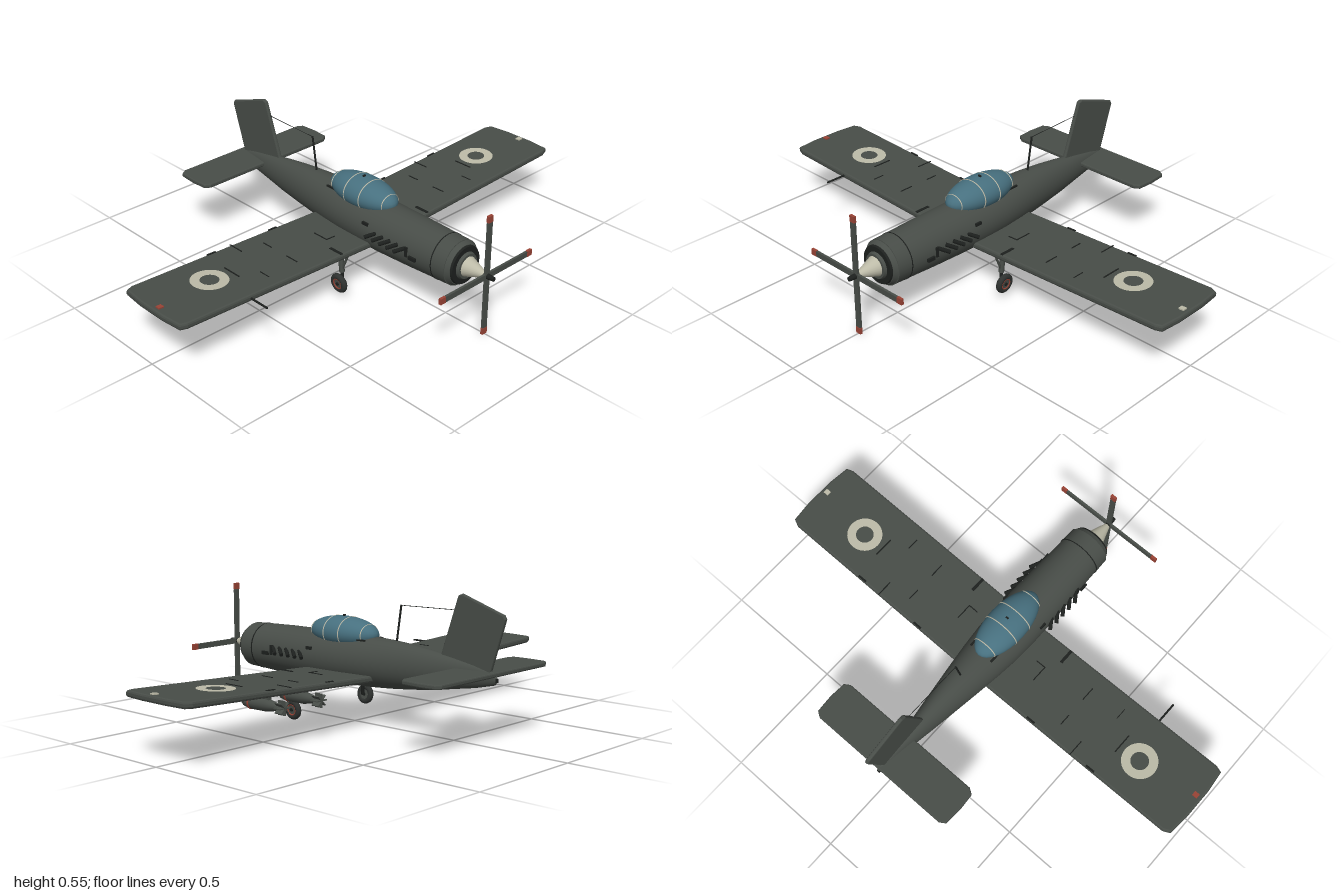
import * as THREE from 'three';

const mat = (name, color, extra = {}) => {
  const m = new THREE.MeshStandardMaterial({ color, ...extra });
  m.name = name;
  return m;
};

export function createModel() {
  const body = mat('dark green grey', 0x484d48);
  const dark = mat('near black', 0x1d201e);
  const cream = mat('cream', 0xbdbba8);
  const glass = mat('blue glass', 0x47707f);
  const red = mat('dull red', 0x9a4436);
  const tyre = mat('tyre grey', 0x2f3230);

  const root = new THREE.Group();
  root.name = 'propellerAircraft';
  const add = (name, geo, material, x = 0, y = 0, z = 0, parent = root) => {
    const m = new THREE.Mesh(geo, material);
    m.name = name;
    m.position.set(x, y, z);
    parent.add(m);
    return m;
  };
  const box = (x, y, z) => new THREE.BoxGeometry(x, y, z);
  // cylinder lying along x, rFront at the +x end
  const xCyl = (rFront, rBack, len, seg = 24) =>
    new THREE.CylinderGeometry(rFront, rBack, len, seg).rotateZ(-Math.PI / 2);
  // round rod between two points
  const rod = (name, a, b, r, material, parent = root) => {
    const A = new THREE.Vector3(...a), B = new THREE.Vector3(...b);
    const d = B.clone().sub(A);
    const m = add(name, new THREE.CylinderGeometry(r, r, d.length(), 8), material, 0, 0, 0, parent);
    m.position.copy(A).add(B).multiplyScalar(0.5);
    m.quaternion.setFromUnitVectors(new THREE.Vector3(0, 1, 0), d.normalize());
    return m;
  };
  // skin over elliptical sections [x, top, bottom, halfWidth]
  const loft = (sections, seg = 32) => {
    const pos = [], idx = [];
    sections.forEach(([x, top, bottom, w], i) => {
      for (let j = 0; j < seg; j++) {
        const a = (j / seg) * Math.PI * 2;
        pos.push(x, (top + bottom) / 2 + (top - bottom) / 2 * Math.cos(a), w * Math.sin(a));
        if (i === 0) continue;
        const p = (i - 1) * seg, k = (j + 1) % seg;
        idx.push(p + j, p + k, p + seg + j, p + k, p + seg + k, p + seg + j);
      }
    });
    const g = new THREE.BufferGeometry();
    g.setAttribute('position', new THREE.Float32BufferAttribute(pos, 3));
    g.setIndex(idx);
    g.computeVertexNormals();
    return g;
  };
  // flat plate from an outline, with a small bevel, centred on its thickness
  const plate = (points, thick, bevel = 0.005) =>
    new THREE.ExtrudeGeometry(new THREE.Shape(points.map(p => new THREE.Vector2(...p))), {
      depth: thick - 2 * bevel, bevelEnabled: true, bevelThickness: bevel,
      bevelSize: bevel, bevelOffset: -bevel, bevelSegments: 2,
    }).translate(0, 0, bevel - thick / 2);

  // fuselage and cowling
  add('fuselage', loft([
    [-0.695, 0.255, 0.245, 0.002], [-0.685, 0.278, 0.232, 0.012], [-0.6, 0.297, 0.212, 0.02],
    [-0.5, 0.313, 0.195, 0.034], [-0.4, 0.327, 0.178, 0.049], [-0.3, 0.339, 0.166, 0.063],
    [-0.2, 0.346, 0.157, 0.077], [-0.1, 0.349, 0.151, 0.09], [0, 0.35, 0.148, 0.1],
    [0.1, 0.35, 0.145, 0.103], [0.2, 0.35, 0.144, 0.102], [0.35, 0.349, 0.148, 0.097],
    [0.51, 0.344, 0.156, 0.092],
  ]), body);
  add('cowling', xCyl(0.092, 0.094, 0.065, 32), body, 0.53, 0.25);
  add('cowlingLip', xCyl(0.08, 0.09, 0.02, 32), body, 0.571, 0.25);
  add('cowlingSeam', xCyl(0.0952, 0.0952, 0.004, 32), dark, 0.499, 0.25);
  add('engineIntake', xCyl(0.075, 0.078, 0.008, 32), dark, 0.585, 0.25);
  add('spinnerPlate', xCyl(0.05, 0.055, 0.012), body, 0.594, 0.25);
  add('spinner', xCyl(0.01, 0.042, 0.09), cream, 0.64, 0.25);

  // four-blade propeller
  const prop = new THREE.Group();
  prop.name = 'propeller';
  prop.position.set(0.69, 0.25, 0);
  root.add(prop);
  add('propellerHub', xCyl(0.009, 0.012, 0.045, 12), dark, 0.012, 0, 0, prop);
  for (let i = 0; i < 4; i++) {
    const blade = new THREE.Group();
    blade.name = 'blade';
    blade.rotation.x = i * Math.PI / 2;
    prop.add(blade);
    add('bladeArm', box(0.01, 0.222, 0.022), body, 0, 0.111, 0, blade);
    add('bladeTip', box(0.011, 0.026, 0.024), red, 0, 0.236, 0, blade);
  }

  // canopy with frame hoops
  const canopy = [0.055, 0.353], [cx, cy] = canopy;
  add('canopy', new THREE.SphereGeometry(1, 32, 20).scale(0.17, 0.064, 0.08), glass, cx, cy);
  for (const x of [-0.075, 0.02, 0.1, 0.195]) {
    const f = Math.sqrt(1 - ((x - cx) / 0.17) ** 2);
    const hoop = new THREE.TorusGeometry(1, 0.025, 6, 40).rotateY(Math.PI / 2);
    add('canopyFrame', hoop.scale(0.1, 0.064 * f, 0.08 * f), cream, x, cy);
  }
  add('canopyLatch', box(0.006, 0.012, 0.012), dark, cx, 0.417);

  // fin and tailplane
  add('fin', plate([[-0.665, 0.27], [-0.73, 0.475], [-0.722, 0.49], [-0.535, 0.552],
    [-0.517, 0.545], [-0.44, 0.32], [-0.5, 0.28]], 0.016), body);
  add('tailplane', plate([[-0.69, -0.31], [-0.675, -0.333], [-0.6, -0.338], [-0.53, -0.333],
    [-0.515, -0.31], [-0.515, 0.31], [-0.53, 0.333], [-0.6, 0.338], [-0.675, 0.333],
    [-0.69, 0.31]], 0.018).rotateX(-Math.PI / 2), body, 0, 0.27);
  add('tailLight', box(0.03, 0.014, 0.012), dark, -0.68, 0.25);

  // aerial mast and wire
  rod('aerialMast', [-0.218, 0.34, 0], [-0.24, 0.485, 0], 0.004, dark);
  rod('aerialWire', [-0.515, 0.49, 0], [-0.24, 0.484, 0], 0.0012, dark);

  const slope = 0.04;
  const wingY = z => 0.193 + slope * Math.abs(z);
  for (const s of [1, -1]) {
    const side = new THREE.Group();
    side.name = s > 0 ? 'leftSide' : 'rightSide';
    root.add(side);

    // wing, lifted toward the tip
    const wing = plate([[-0.153, 0], [-0.153, 0.96], [-0.14, 0.988], [-0.05, 0.997], [0.08, 0.997],
      [0.17, 0.988], [0.18, 0.96], [0.18, 0]].map(([x, z]) => [x, -s * z]), 0.026, 0.008).rotateX(-Math.PI / 2);
    const p = wing.attributes.position;
    for (let i = 0; i < p.count; i++) p.setY(i, p.getY(i) + wingY(p.getZ(i)));
    wing.computeVertexNormals();
    add('wing', wing, body, 0, 0, 0, side);

    // flat details on the upper wing skin
    const onWing = (name, geo, material, x, z) => {
      const m = add(name, geo, material, x, wingY(z) + 0.014, s * z, side);
      m.rotation.x = -slope * s;
    };
    onWing('roundelRing', new THREE.RingGeometry(0.036, 0.072, 40).rotateX(-Math.PI / 2), cream, 0, 0.725);
    for (const [x, z, w, d] of [[0.01, 0.63, 0.085, 0.005], [-0.12, 0.505, 0.07, 0.004],
      [-0.06, 0.4, 0.05, 0.004], [0.08, 0.4, 0.06, 0.004], [0.02, 0.2, 0.07, 0.004],
      [0.055, 0.18, 0.004, 0.045], [0.145, 0.235, 0.065, 0.012], [-0.148, 0.6, 0.008, 0.04],
      [-0.148, 0.3, 0.008, 0.04], [0.1, 0.55, 0.05, 0.003]])
      onWing('panelLine', box(w, 0.003, d), dark, x, z);
    onWing('wingtipLight', box(0.02, 0.008, 0.022), s > 0 ? red : cream, 0.035, 0.97);

    // main wheel and leg
    const gear = new THREE.Group();
    gear.name = 'mainGear';
    side.add(gear);
    rod('gearLeg', [0.12, 0.195, s * 0.19], [0.13, 0.1, s * 0.19], 0.011, body, gear);
    rod('gearFork', [0.13, 0.11, s * 0.188], [0.135, 0.06, s * 0.195], 0.007, dark, gear);
    rod('gearBrace', [0.165, 0.19, s * 0.19], [0.13, 0.11, s * 0.19], 0.005, body, gear);
    const wheel = new THREE.Group();
    wheel.name = 'wheel';
    wheel.position.set(0.135, 0.06, s * 0.211);
    wheel.rotation.x = s * 0.08;
    gear.add(wheel);
    add('tyre', new THREE.TorusGeometry(0.029, 0.012, 12, 28), tyre, 0, 0, 0, wheel);
    add('wheelDisc', new THREE.CylinderGeometry(0.024, 0.024, 0.016, 24).rotateX(Math.PI / 2), body, 0, 0, 0, wheel);
    add('wheelBand', new THREE.TorusGeometry(0.021, 0.003, 6, 28), red, 0, 0, s * 0.008, wheel);
    add('axleCap', new THREE.CylinderGeometry(0.007, 0.007, 0.024, 12).rotateX(Math.PI / 2), dark, 0, 0, 0, wheel);

    // bombs on pylons
    for (const z of [0.32, 0.51]) {
      const bomb = new THREE.Group();
      bomb.name = 'bomb';
      bomb.position.set(0, 0.147, s * z);
      side.add(bomb);
      add('bombBody', loft([[-0.13, 0.006, -0.006, 0.006], [-0.08, 0.016, -0.016, 0.016],
        [-0.04, 0.024, -0.024, 0.024], [0.05, 0.025, -0.025, 0.025], [0.08, 0.019, -0.019, 0.019],
        [0.096, 0.009, -0.009, 0.009], [0.1, 0.001, -0.001, 0.001]], 16), body, 0, 0, 0, bomb);
      add('bombBand', xCyl(0.0262, 0.0262, 0.008, 16), red, 0.045, 0, 0, bomb);
      for (let i = 0; i < 4; i++)
        add('bombFin', box(0.036, 0.054, 0.004), body, -0.112, 0, 0, bomb).rotation.x = i * Math.PI / 4;
      add('pylon', box(0.1, 0.05, 0.014), body, 0, 0.036, 0, bomb);
    }

    // exhaust stubs and cowling vents
    for (let i = 0; i < 5; i++) {
      const x = 0.19 + i * 0.038;
      rod('exhaustStub', [x + 0.028, 0.268, s * 0.093], [x - 0.01, 0.246, s * 0.119], 0.008, dark, side);
    }
    add('sideVent', box(0.03, 0.012, 0.008), dark, 0.16, 0.287, s * 0.096, side);
    add('sideVent', box(0.012, 0.04, 0.008), dark, 0.377, 0.255, s * 0.096, side);
    add('sideVent', box(0.034, 0.014, 0.014), dark, 0.41, 0.24, s * 0.097, side);
    add('cockpitStep', box(0.08, 0.006, 0.008), dark, -0.06, 0.338, s * 0.052, side);
  }

  // pitot tube on the left wing
  rod('pitotTube', [0.17, wingY(0.68), 0.68], [0.268, wingY(0.68), 0.68], 0.004, dark);
  return root;
}
